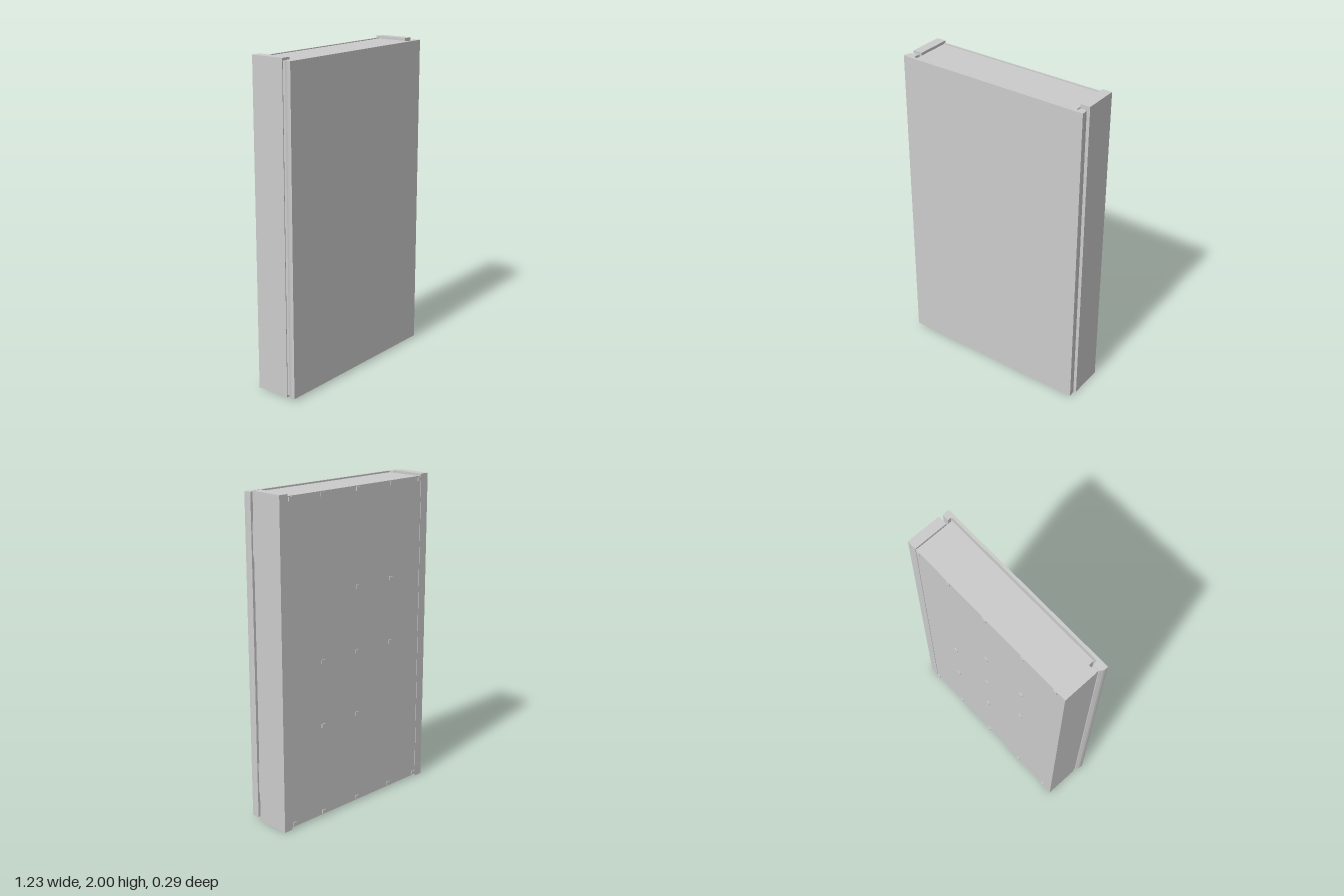
import * as THREE from 'three';

const material = new THREE.MeshStandardMaterial({ color: 0xcccccc, flatShading: true, side: THREE.DoubleSide });

// Box given by its minimum and maximum on each axis
function box(parent, name, [x0, x1], [y0, y1], [z0, z1]) {
  const mesh = new THREE.Mesh(new THREE.BoxGeometry(x1 - x0, y1 - y0, z1 - z0), material);
  mesh.position.set((x0 + x1) / 2, (y0 + y1) / 2, (z0 + z1) / 2);
  mesh.name = name;
  parent.add(mesh);
  return mesh;
}

// Upright bar with a constant x/z cross-section
function upright(parent, name, points, y0, y1) {
  const shape = new THREE.Shape(points.map(([x, z]) => new THREE.Vector2(x, -z)));
  const geometry = new THREE.ExtrudeGeometry(shape, { depth: y1 - y0, bevelEnabled: false });
  geometry.rotateX(-Math.PI / 2).translate(0, y0, 0);
  const mesh = new THREE.Mesh(geometry, material);
  mesh.name = name;
  parent.add(mesh);
}

export function createModel() {
  const model = new THREE.Group();
  model.name = 'wallCabinet';

  // Hollow case between two taller side posts
  const body = new THREE.Group();
  body.name = 'caseBody';
  model.add(body);
  box(body, 'rightPost', [-0.6, -0.54], [0, 2], [-0.145, 0.075]);
  box(body, 'leftPost', [0.555, 0.615], [0, 2], [-0.145, 0.075]);
  box(body, 'backPanel', [-0.54, 0.555], [0.012, 1.988], [-0.142, -0.132]);
  box(body, 'topPanel', [-0.54, 0.555], [1.973, 1.983], [-0.132, 0.115]);
  box(body, 'bottomPanel', [-0.54, 0.555], [0.017, 0.027], [-0.132, 0.115]);
  box(body, 'rightRim', [-0.54, -0.53], [0.027, 1.973], [-0.132, 0.115]);
  box(body, 'leftRim', [0.545, 0.555], [0.027, 1.973], [-0.132, 0.115]);
  box(body, 'doorSeal', [-0.595, -0.557], [0.015, 1.985], [0.075, 0.095]);

  // Door sheet with folded edges
  const door = new THREE.Group();
  door.name = 'door';
  model.add(door);
  box(door, 'doorPanel', [-0.615, 0.615], [0.015, 1.99], [0.127, 0.145]);
  upright(door, 'rightDoorFlange',
    [[-0.615, 0.127], [-0.55, 0.127], [-0.557, 0.095], [-0.6, 0.095], [-0.612, 0.115]], 0.015, 1.99);
  upright(door, 'leftDoorFlange',
    [[0.56, 0.127], [0.615, 0.127], [0.61, 0.1], [0.57, 0.1], [0.57, 0.12]], 0.015, 1.99);

  // Hinges on the left edge
  for (const y of [0.27, 1.72]) {
    box(door, 'hingeLeaf', [0.455, 0.575], [y - 0.1, y + 0.1], [0.117, 0.127]);
    const pin = new THREE.Mesh(new THREE.CylinderGeometry(0.008, 0.008, 0.2, 12), material);
    pin.position.set(0.592, y, 0.1);
    pin.name = 'hingePin';
    door.add(pin);
  }

  // Small raised clips on the back
  const columns = { right: -0.28, middle: 0.01, left: 0.295 };
  const clips = [
    [columns.middle, 1.39], [columns.right, 1.39],
    [columns.left, 0.99], [columns.middle, 0.99], [columns.right, 0.99],
    [columns.left, 0.59], [columns.middle, 0.59],
  ];
  for (const y of [0.03, 1.97]) {
    for (const x of [...Object.values(columns), 0.535, -0.525]) clips.push([x, y]);
  }
  for (const [x, y] of clips) {
    box(body, 'backClip', [x - 0.013, x + 0.013], [y - 0.012, y + 0.012], [-0.147, -0.142]);
  }
  return model;
}
